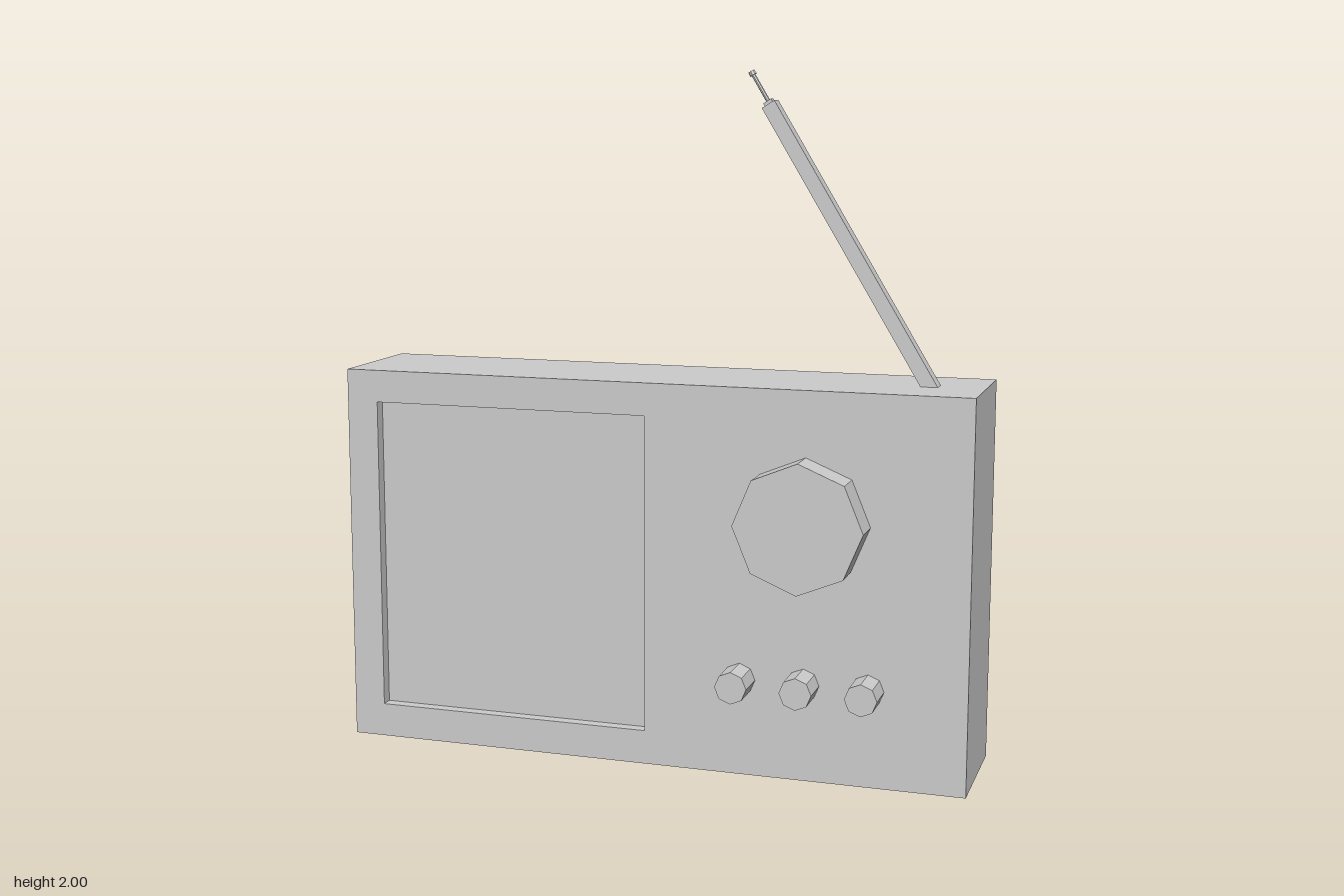
import * as THREE from 'three';

// Box without its front face; inward turns the faces to the inside.
function openBox(w, h, d, inward) {
  const geo = new THREE.BoxGeometry(w, h, d);
  const index = Array.from(geo.index.array);
  index.splice(24, 6);
  if (inward) index.reverse();
  geo.setIndex(index);
  geo.clearGroups();
  geo.computeVertexNormals();
  return geo;
}

function rectangle(path, x0, y0, x1, y1) {
  path.moveTo(x0, y0);
  path.lineTo(x1, y0);
  path.lineTo(x1, y1);
  path.lineTo(x0, y1);
  path.closePath();
  return path;
}

export function createModel() {
  const model = new THREE.Group();
  model.name = 'portableRadio';
  const grey = new THREE.MeshStandardMaterial({ color: 0xcccccc, flatShading: true });
  grey.name = 'light grey';

  const add = (parent, name, geo, x, y, z) => {
    const mesh = new THREE.Mesh(geo, grey);
    mesh.name = name;
    mesh.position.set(x, y, z);
    parent.add(mesh);
    return mesh;
  };

  const W = 1.87, H = 1.125, back = -0.235, front = 0.138;
  const grille = { x0: -0.84, x1: -0.005, y0: 0.1, y1: 1.03, depth: 0.035 };

  // Case: sides and back, front plate with an opening, sunken speaker panel
  const depth = front - back;
  add(model, 'case', openBox(W, H, depth, false), 0, H / 2, back + depth / 2);
  const plate = rectangle(new THREE.Shape(), -W / 2, 0, W / 2, H);
  plate.holes.push(rectangle(new THREE.Path(), grille.x0, grille.y0, grille.x1, grille.y1));
  add(model, 'frontPlate', new THREE.ShapeGeometry(plate), 0, 0, front);
  add(model, 'speakerRecess',
    openBox(grille.x1 - grille.x0, grille.y1 - grille.y0, grille.depth, true),
    (grille.x0 + grille.x1) / 2, (grille.y0 + grille.y1) / 2, front - grille.depth / 2);

  // Eight-sided knobs
  const knob = (name, x, y, r) => {
    const geo = new THREE.CylinderGeometry(r, r, 0.096, 8).rotateX(Math.PI / 2);
    add(model, name, geo, x, y, front + 0.048);
  };
  knob('tuningDial', 0.467, 0.75, 0.186);
  [0.28, 0.467, 0.653].forEach((x, i) => knob('smallKnob' + (i + 1), x, 0.283, 0.0465));

  // Aerial: built upright from its foot, then tilted to the model's right
  const aerial = new THREE.Group();
  aerial.name = 'aerial';
  aerial.position.set(0.778, H, -0.048);
  aerial.rotation.z = 0.544;
  model.add(aerial);

  // Square mast, with its foot cut level with the top of the case
  const mast = new THREE.BoxGeometry(0.042, 0.91, 0.047).translate(0, 0.455, 0);
  const p = mast.attributes.position;
  for (let i = 0; i < p.count; i++) {
    if (p.getY(i) < 0.1) p.setY(i, -p.getX(i) * Math.tan(0.544));
  }
  mast.computeVertexNormals();
  add(aerial, 'mast', mast, 0, 0, 0);
  add(aerial, 'collar', new THREE.BoxGeometry(0.026, 0.012, 0.028), 0, 0.914, 0);
  add(aerial, 'thinRod', new THREE.CylinderGeometry(0.006, 0.006, 0.09, 8), 0, 0.963, 0);
  add(aerial, 'tip', new THREE.CylinderGeometry(0.01, 0.01, 0.012, 8), 0, 1.01, 0);

  return model;
}
